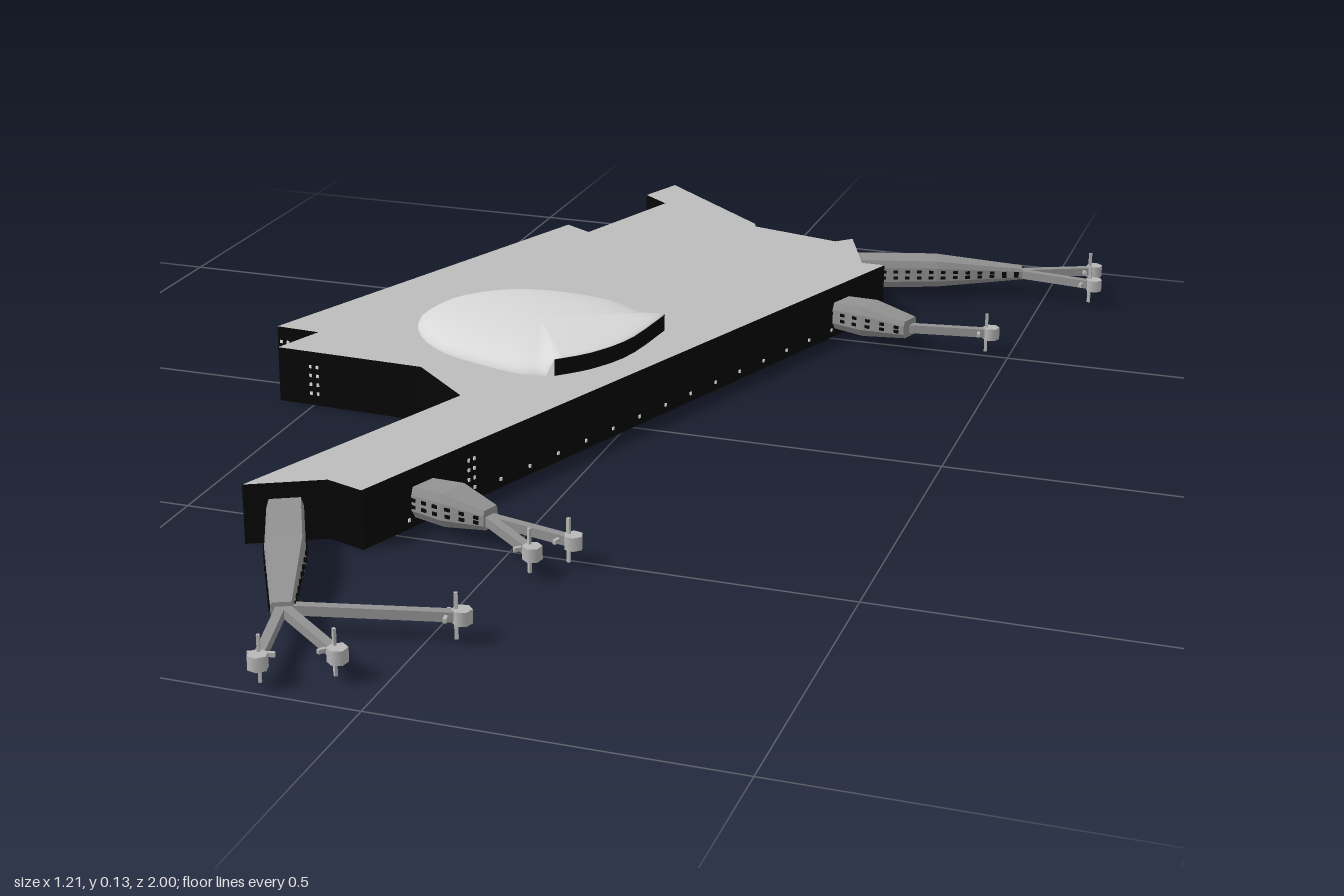
import * as THREE from 'three';

const mat = (name, color) => {
  const m = new THREE.MeshStandardMaterial({ color });
  m.name = name;
  return m;
};
const M = {
  deck: mat('deck grey', 0xbcbcbc),
  hull: mat('hull black', 0x060606),
  dome: mat('dome pale grey', 0xd8d8d8),
  arm: mat('arm grey', 0x929292),
  light: mat('window light', 0xf0f0f0),
  pod: mat('pod grey', 0xb8b8b8),
};

// Platform outline as [x, z], clockwise seen from above
const OUTLINE = [
  [-0.245, -1], [-0.03, -0.81], [-0.025, -0.795], [0.135, -0.755], [0.16, -0.78], [0.21, -0.65], [0.25, -0.65],
  [-0.195, 0.56], [-0.255, 0.54], [-0.36, 0.595], [-0.205, 0.175], [-0.31, 0.08], [-0.56, 0.07],
  [-0.53, -0.015], [-0.605, -0.02], [-0.35, -0.695], [-0.3, -0.665], [-0.225, -0.88], [-0.275, -0.92],
];

function add(parent, name, geometry, material) {
  const mesh = new THREE.Mesh(geometry, material);
  mesh.name = name;
  parent.add(mesh);
  return mesh;
}

function box(parent, name, size, pos, angle, material) {
  const mesh = add(parent, name, new THREE.BoxGeometry(...size), material);
  mesh.position.set(...pos);
  mesh.rotation.y = angle;
  return mesh;
}

function slab(depth, y) {
  const shape = new THREE.Shape(OUTLINE.map(([x, z]) => new THREE.Vector2(x, -z)));
  return new THREE.ExtrudeGeometry(shape, { depth, bevelEnabled: false }).rotateX(-Math.PI / 2).translate(0, y, 0);
}

function fromTriangles(positions, index) {
  const g = new THREE.BufferGeometry();
  g.setAttribute('position', new THREE.Float32BufferAttribute(positions, 3));
  g.setIndex(index);
  return g;
}

// A block of small lit windows on one wall of the platform
function wallWindows(parent, edge, t, cols, ys, step = 0.012) {
  const [ax, az] = OUTLINE[edge], [bx, bz] = OUTLINE[(edge + 1) % OUTLINE.length];
  const len = Math.hypot(bx - ax, bz - az), angle = Math.atan2(bz - az, ax - bx);
  for (let c = 0; c < cols; c++) {
    const k = t + ((c - (cols - 1) / 2) * step) / len;
    for (const y of ys)
      box(parent, 'wallWindow', [0.004, 0.005, 0.004], [ax + (bx - ax) * k, y, az + (bz - az) * k], angle, M.light);
  }
}

// Smooth shallow dome, cut off along one side by a dark upright window
function buildDome(parent) {
  const spline = (pts, n) => new THREE.SplineCurve(pts.map(p => new THREE.Vector2(...p))).getPoints(n);
  const glass = spline([[-0.005, -0.205], [-0.02, -0.08], [-0.055, 0], [-0.1, 0.05]], 10);
  const back = spline([[-0.1, 0.05], [-0.15, 0.06], [-0.22, 0.042], [-0.3, 0.01], [-0.365, -0.05], [-0.4, -0.13],
    [-0.385, -0.22], [-0.34, -0.275], [-0.28, -0.305], [-0.2, -0.31], [-0.12, -0.295], [-0.05, -0.25], [-0.005, -0.205]], 36);
  const rim = [...glass, ...back.slice(1, -1)];
  const base = 0.09, rise = 0.037, edge = 0.027, cx = -0.18, cz = -0.1, n = rim.length, rings = 10;
  const pos = [], idx = [];
  for (let r = 0; r <= rings; r++) {
    const s = Math.cos((r / rings) * Math.PI / 2), up = Math.sin((r / rings) * Math.PI / 2);
    rim.forEach((p, i) => {
      const e = i < glass.length ? edge : 0;
      pos.push(cx + (p.x - cx) * s, base + e + (rise - e) * up, cz + (p.y - cz) * s);
      if (r === rings) return;
      const a = r * n + i, a2 = r * n + (i + 1) % n, b = a + n, b2 = a2 + n;
      idx.push(a2, a, b);
      if (r < rings - 1) idx.push(a2, b, b2);
    });
  }
  const shell = fromTriangles(pos, idx);
  shell.computeVertexNormals();
  add(parent, 'domeShell', shell, M.dome);

  const wall = [], wallIdx = [];
  glass.forEach((p, i) => {
    wall.push(p.x, base, p.y, p.x, base + edge, p.y);
    const a = i * 2;
    if (i) wallIdx.push(a, a - 2, a - 1, a, a - 1, a + 1);
  });
  const g = fromTriangles(wall, wallIdx);
  g.computeVertexNormals();
  add(parent, 'domeWindow', g, M.hull);
}

// Tapered arm lofted through stations of [x, z, half width, low y, high y]
const SECTION = [[-0.7, 0], [0.7, 0], [1, 0.25], [1, 0.75], [0.85, 1], [-0.85, 1], [-1, 0.75], [-1, 0.25]];
function armGeometry(stations, dx, dz) {
  const n = SECTION.length, pos = [], idx = [];
  stations.forEach(([x, z, w, lo, hi], k) => {
    SECTION.forEach(([s, h], i) => {
      pos.push(x + dz * s * w, lo + (hi - lo) * h, z - dx * s * w);
      const j = (i + 1) % n, p = (k - 1) * n, q = k * n;
      if (k) idx.push(p + i, p + j, q + j, p + i, q + j, q + i);
    });
  });
  const last = (stations.length - 1) * n;
  for (let i = 1; i < n - 1; i++) idx.push(0, i + 1, i, last, last + i, last + i + 1);
  const g = fromTriangles(pos, idx).toNonIndexed();
  g.computeVertexNormals();
  return g;
}

// Docking finger: thin rod with a pod, an upright pin and a crossbar at its end
function addFinger(parent, [ax, az], [bx, bz]) {
  const len = Math.hypot(bx - ax, bz - az), angle = Math.atan2(bx - ax, bz - az), y = 0.037;
  const finger = new THREE.Group();
  finger.name = 'dockingFinger';
  finger.position.set(ax, y, az);
  finger.rotation.y = angle;
  parent.add(finger);
  box(finger, 'rod', [0.013, 0.014, len], [0, 0, len / 2], 0, M.arm);
  add(finger, 'pod', new THREE.CylinderGeometry(0.014, 0.014, 0.02, 6), M.pod).position.set(0, 0, len);
  box(finger, 'pin', [0.004, 0.066, 0.005], [0, 0, len - 0.008], 0, M.pod);
  box(finger, 'crossbar', [0.036, 0.006, 0.005], [0, 0, len - 0.02], 0, M.pod);
}

function addArm(parent, stations, fingers) {
  const group = new THREE.Group();
  group.name = 'dockingArm';
  parent.add(group);
  const first = stations[0], last = stations[stations.length - 1];
  const len = Math.hypot(last[0] - first[0], last[1] - first[1]);
  const dx = (last[0] - first[0]) / len, dz = (last[1] - first[1]) / len, angle = Math.atan2(dx, dz);
  add(group, 'armBody', armGeometry(stations, dx, dz), M.arm);
  // Dark portholes along both sides
  for (let k = 0; k < stations.length - 1; k++) {
    const a = stations[k], b = stations[k + 1];
    const count = Math.max(2, Math.floor(Math.hypot(b[0] - a[0], b[1] - a[1]) / 0.02));
    for (let i = 0; i < count; i++) {
      const [x, z, w, lo, hi] = a.map((v, c) => v + (b[c] - v) * ((i + 0.5) / count));
      for (const side of [-1, 1])
        for (const h of [0.4, 0.62])
          box(group, 'porthole', [0.004, 0.005, 0.008],
            [x + dz * w * side, lo + (hi - lo) * h, z - dx * w * side], angle, M.hull);
    }
  }
  for (const end of fingers) addFinger(group, [last[0] - dx * 0.01, last[1] - dz * 0.01], end);
}

export function createModel() {
  const model = new THREE.Group();
  model.name = 'station';

  // Platform: black hull with a grey deck on top
  add(model, 'hull', slab(0.086, 0), M.hull);
  add(model, 'deck', slab(0.004, 0.086), [M.deck, M.hull]);
  buildDome(model);

  // Lit windows
  const column = [0.02, 0.035, 0.05, 0.065];
  wallWindows(model, 6, 0.826, 2, column);
  wallWindows(model, 6, 0.5, 18, [0.014], 0.065);
  wallWindows(model, 11, 0.75, 2, column);
  wallWindows(model, 13, 0.75, 3, column);
  wallWindows(model, 17, 0.5, 2, column);
  wallWindows(model, 18, 0.35, 2, column);

  // Docking arms
  addArm(model, [[0.15, -0.75, 0.025, 0.012, 0.066], [0.31, -0.795, 0.028, 0.018, 0.066], [0.455, -0.845, 0.013, 0.028, 0.048]],
    [[0.575, -0.9], [0.588, -0.82]]);
  addArm(model, [[0.19, -0.535, 0.025, 0.014, 0.06], [0.26, -0.51, 0.029, 0.014, 0.066], [0.335, -0.488, 0.02, 0.024, 0.054]],
    [[0.468, -0.512]]);
  addArm(model, [[-0.18, 0.437, 0.022, 0.014, 0.06], [-0.1, 0.46, 0.029, 0.014, 0.066], [-0.035, 0.482, 0.016, 0.024, 0.054]],
    [[0.1, 0.515], [0.06, 0.568]]);
  addArm(model, [[-0.315, 0.555, 0.026, 0.012, 0.066], [-0.25, 0.69, 0.028, 0.016, 0.066], [-0.18, 0.845, 0.015, 0.028, 0.05]],
    [[0.045, 0.782], [-0.06, 0.935], [-0.146, 0.984]]);

  return model;
}
